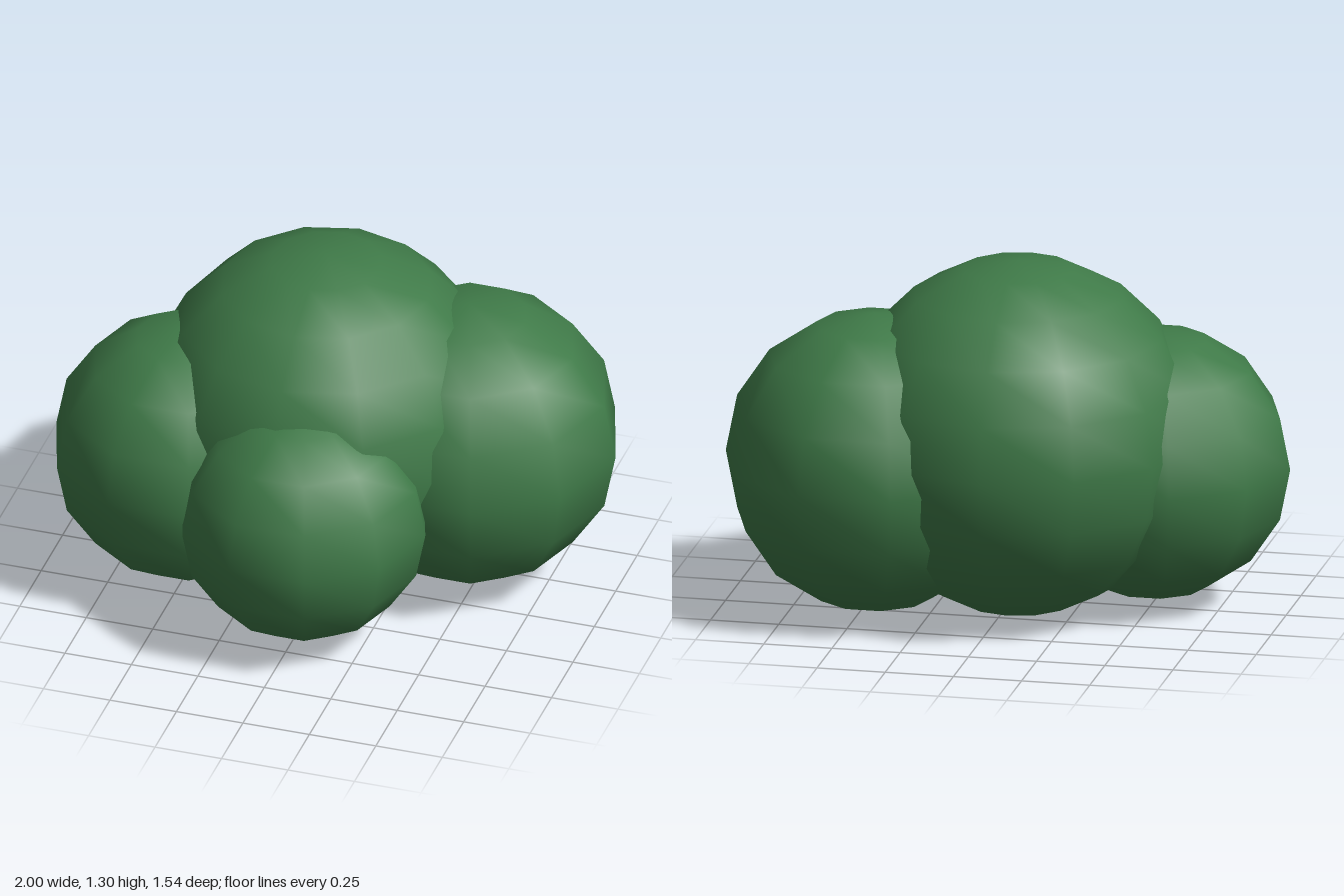
import * as THREE from 'three';

// Rounded bush made of four overlapping low-poly, smooth-shaded foliage clumps
export function createModel() {
  const group = new THREE.Group();
  group.name = 'bush';
  const leaves = new THREE.MeshStandardMaterial({ color: 0x3f7a48 });

  // name, radius, width segments, height segments, centre
  const clumps = [
    ['mainClump', 0.652, 12, 10, [-0.047, 0.654, -0.122]],
    ['leftClump', 0.547, 10, 8, [0.452, 0.565, -0.25]],
    ['rightClump', 0.495, 10, 8, [-0.505, 0.525, 0.07]],
    ['frontClump', 0.457, 10, 8, [0.015, 0.485, 0.335]],
  ];
  for (const [name, radius, across, up, centre] of clumps) {
    const clump = new THREE.Mesh(new THREE.SphereGeometry(radius, across, up), leaves);
    clump.name = name;
    clump.position.set(...centre);
    group.add(clump);
  }
  return group;
}
